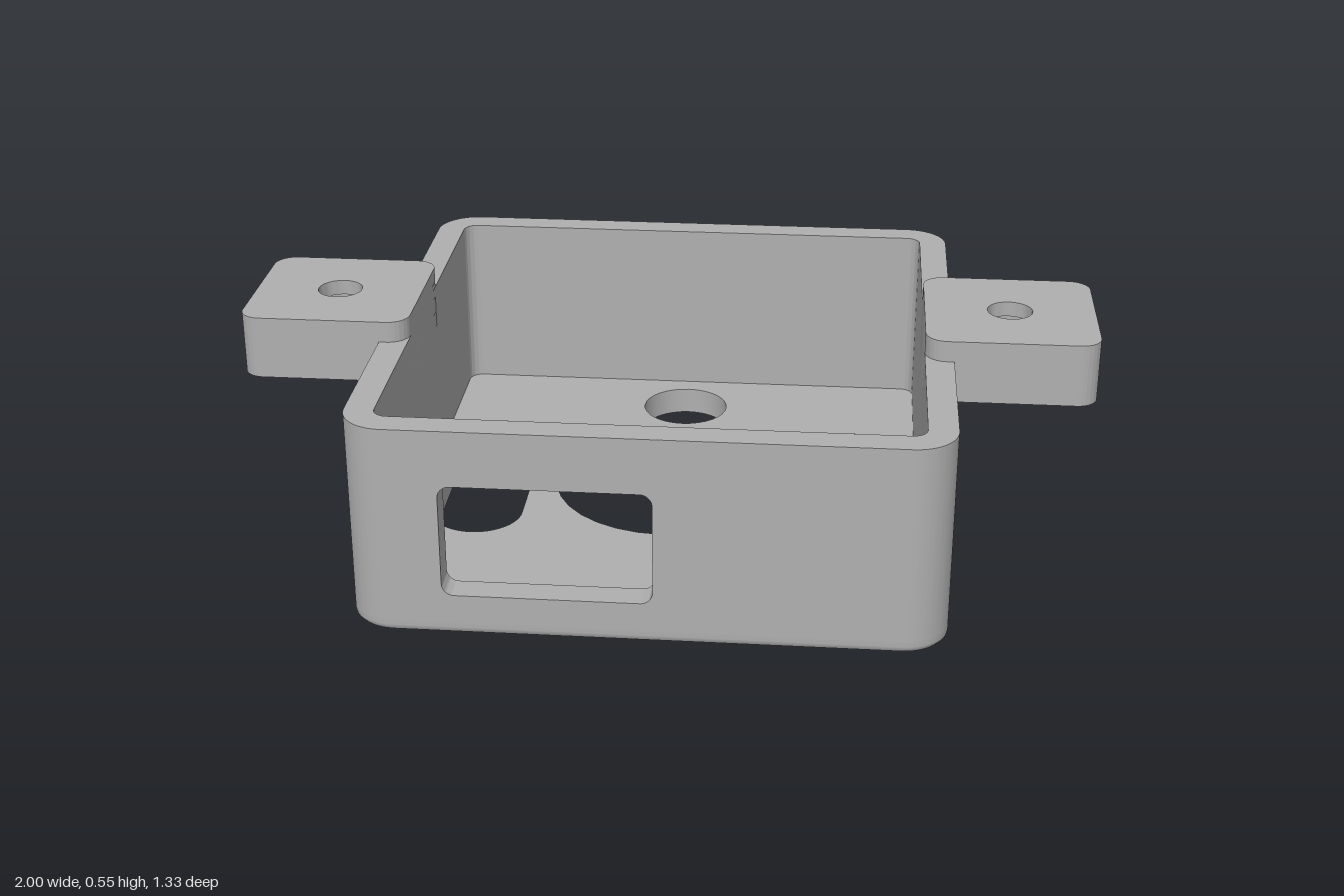
import * as THREE from 'three';
import { toCreasedNormals } from 'three/addons/utils/BufferGeometryUtils.js';

const HALF = 0.667, INNER = 0.6, SPLIT = 0.567, FLOOR = 0.067, TOP = 0.5, FILLET = 0.02;

// Rounded rectangle outline; works for shapes and holes
function roundRect(path, x0, y0, x1, y1, r) {
  path.moveTo(x0 + r, y0);
  path.lineTo(x1 - r, y0);
  path.absarc(x1 - r, y0 + r, r, -Math.PI / 2, 0);
  path.lineTo(x1, y1 - r);
  path.absarc(x1 - r, y1 - r, r, 0, Math.PI / 2);
  path.lineTo(x0 + r, y1);
  path.absarc(x0 + r, y1 - r, r, Math.PI / 2, Math.PI);
  path.lineTo(x0, y0 + r);
  path.absarc(x0 + r, y0 + r, r, Math.PI, Math.PI * 1.5);
  return path;
}

const circle = (x, y, r) => new THREE.Path().absarc(x, y, r, 0, Math.PI * 2);

function extrude(shape, depth, steps = 1) {
  return new THREE.ExtrudeGeometry(shape, { depth, steps, bevelEnabled: false, curveSegments: 16 });
}

// Extrude a plan (shape y points to the back) upwards between two heights
function slab(shape, y0, y1, steps) {
  return extrude(shape, y1 - y0, steps).rotateX(-Math.PI / 2).translate(0, y0, 0);
}

export function createModel() {
  const grey = new THREE.MeshStandardMaterial({ color: 0xb0b0b0 });
  grey.name = 'grey plastic';
  const model = new THREE.Group();
  model.name = 'mountingBox';

  const add = (parent, geometry, name) => {
    const mesh = new THREE.Mesh(toCreasedNormals(geometry, 0.6), grey);
    mesh.name = name;
    parent.add(mesh);
  };

  // Floor with the round holes and two long slots
  const plan = roundRect(new THREE.Shape(), -HALF, -HALF, HALF, HALF, 0.1);
  plan.holes.push(circle(0, 0, 0.282), circle(0, 0.44, 0.108));
  for (const s of [-1, 1]) {
    plan.holes.push(roundRect(new THREE.Path(), s * 0.45 - 0.108, -0.308, s * 0.45 + 0.108, 0.308, 0.1079));
  }
  const floor = slab(plan, 0, FLOOR, 10);

  // Round off the lower outer edge and ease the lower rim of the middle hole
  const p = floor.attributes.position;
  for (let i = 0; i < p.count; i++) {
    const x = p.getX(i), y = Math.max(0, p.getY(i)), z = p.getZ(i);
    if (y > FILLET) continue;
    const t = 1 - y / FILLET;
    const inset = FILLET * (1 - Math.sqrt(1 - t * t));
    let k = 1;
    if (Math.max(Math.abs(x), Math.abs(z)) > INNER) k = 1 - inset / HALF;
    else if (Math.hypot(x, z) < 0.3) k = 1 + 0.75 * inset / 0.282;
    p.setXYZ(i, x * k, y, z * k);
  }
  add(model, floor, 'floor');

  // Side and back walls, with all four corners, in one C-shaped run
  const c = new THREE.Shape();
  const ri = INNER - SPLIT, ro = HALF - SPLIT, q = Math.PI / 2;
  c.moveTo(SPLIT, -HALF);
  c.absarc(SPLIT, -SPLIT, ro, -q, 0);
  c.absarc(SPLIT, SPLIT, ro, 0, q);
  c.absarc(-SPLIT, SPLIT, ro, q, 2 * q);
  c.absarc(-SPLIT, -SPLIT, ro, 2 * q, 3 * q);
  c.lineTo(-SPLIT, -INNER);
  c.absarc(-SPLIT, -SPLIT, ri, 3 * q, 2 * q, true);
  c.absarc(-SPLIT, SPLIT, ri, 2 * q, q, true);
  c.absarc(SPLIT, SPLIT, ri, q, 0, true);
  c.absarc(SPLIT, -SPLIT, ri, 0, -q, true);
  c.closePath();
  add(model, slab(c, FLOOR, TOP), 'sideAndBackWalls');

  // Front wall with its window opening
  const front = new THREE.Shape();
  front.moveTo(-SPLIT, FLOOR);
  front.lineTo(SPLIT, FLOOR);
  front.lineTo(SPLIT, TOP);
  front.lineTo(-SPLIT, TOP);
  front.closePath();
  front.holes.push(roundRect(new THREE.Path(), -0.45, 0.1, 0.017, 0.368, 0.028));
  add(model, extrude(front, HALF - INNER).translate(0, 0, INNER), 'frontWall');

  // Mounting ears: two drilled plates around a layer with a nut pocket
  const plate = roundRect(new THREE.Shape(), 0.6, -0.2, 1, 0.2, 0.05);
  plate.holes.push(circle(0.8, 0, 0.053));
  const pocket = new THREE.Shape();
  pocket.moveTo(1, 0.097);
  pocket.absarc(0.95, 0.15, 0.05, 0, q);
  pocket.absarc(0.65, 0.15, 0.05, q, 2 * q);
  pocket.absarc(0.65, -0.15, 0.05, 2 * q, 3 * q);
  pocket.absarc(0.95, -0.15, 0.05, 3 * q, 4 * q);
  pocket.lineTo(1, -0.097);
  pocket.lineTo(0.7, -0.097);
  pocket.lineTo(0.7, 0.097);
  pocket.closePath();
  for (const side of ['left', 'right']) {
    const ear = new THREE.Group();
    ear.name = side + 'Ear';
    add(ear, slab(plate, 0.4, 0.437), 'lowerPlate');
    add(ear, slab(pocket, 0.437, 0.514), 'nutPocket');
    add(ear, slab(plate, 0.514, 0.55), 'upperPlate');
    if (side === 'right') ear.rotation.y = Math.PI;
    model.add(ear);
  }
  return model;
}
